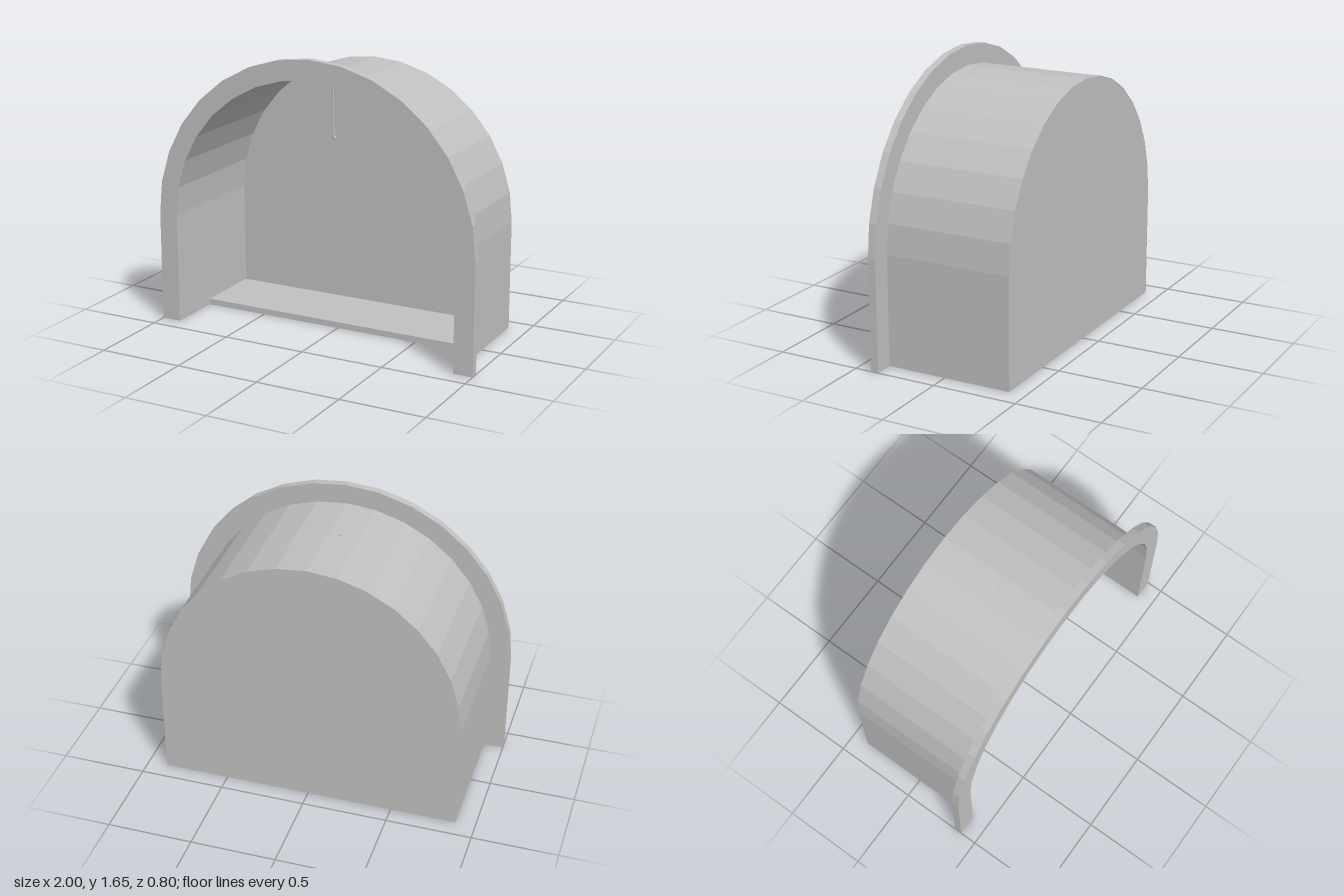
import * as THREE from 'three';

const SPRING = 0.65; // height where the arch begins
const INNER = 0.884, OUTER = 1.0;
const BACK = -0.4, FRONT = 0.4, THICK = 0.045;

// Arch outline from right foot, over the top, to the left foot
function archPoints(r, segments = 16) {
  const pts = [new THREE.Vector2(r, 0)];
  for (let i = 0; i <= segments; i++) {
    const a = (Math.PI * i) / segments;
    pts.push(new THREE.Vector2(r * Math.cos(a), SPRING + r * Math.sin(a)));
  }
  pts.push(new THREE.Vector2(-r, 0));
  return pts;
}

function extrude(points, depth, z) {
  const geo = new THREE.ExtrudeGeometry(new THREE.Shape(points), { depth, bevelEnabled: false });
  return geo.translate(0, 0, z);
}

// Open ribbon following the arch between two depths
function archRibbon(r, z0, z1) {
  const pts = archPoints(r);
  const geo = new THREE.PlaneGeometry(1, 1, pts.length - 1, 1);
  const pos = geo.attributes.position;
  for (let i = 0; i < pos.count; i++) {
    const p = pts[i % pts.length];
    pos.setXYZ(i, p.x, p.y, i < pts.length ? z0 : z1);
  }
  const flat = geo.toNonIndexed();
  flat.computeVertexNormals();
  return flat;
}

export function createModel() {
  const group = new THREE.Group();
  const grey = new THREE.MeshStandardMaterial({ color: 0xc0c0c0, side: THREE.DoubleSide });
  grey.name = 'light grey';

  const add = (name, geo) => {
    const mesh = new THREE.Mesh(geo, grey);
    mesh.name = name;
    group.add(mesh);
    return mesh;
  };

  // Vaulted shell, open at the front and below
  add('archShell', archRibbon(INNER, BACK, FRONT - THICK));

  // Flat rim around the front opening
  const rim = [...archPoints(OUTER), ...archPoints(INNER).reverse()];
  add('frontRim', extrude(rim, THICK, FRONT - THICK));

  // Closed back wall
  add('backWall', extrude(archPoints(INNER - 0.002), THICK, BACK));

  // Floor slab covering the rear part only
  const floorFront = 0.07, floorBack = BACK + THICK;
  const floor = add('floor', new THREE.BoxGeometry(2 * INNER - 0.004, 0.036, floorFront - floorBack));
  floor.position.set(0, 0.018, (floorFront + floorBack) / 2);

  // Hanging rod with a small hook at its lower end
  const rod = add('hangingRod', new THREE.CylinderGeometry(0.007, 0.007, 0.4, 8));
  rod.position.set(-0.06, 1.333, 0.01);

  const bend = [];
  for (let i = 0; i <= 6; i++) {
    const a = (Math.PI * i) / 6;
    bend.push(new THREE.Vector3(-0.06, 1.135 - 0.015 * Math.sin(a), -0.005 + 0.015 * Math.cos(a)));
  }
  bend.push(new THREE.Vector3(-0.06, 1.15, -0.02));
  add('hook', new THREE.TubeGeometry(new THREE.CatmullRomCurve3(bend), 12, 0.007, 8));

  return group;
}
